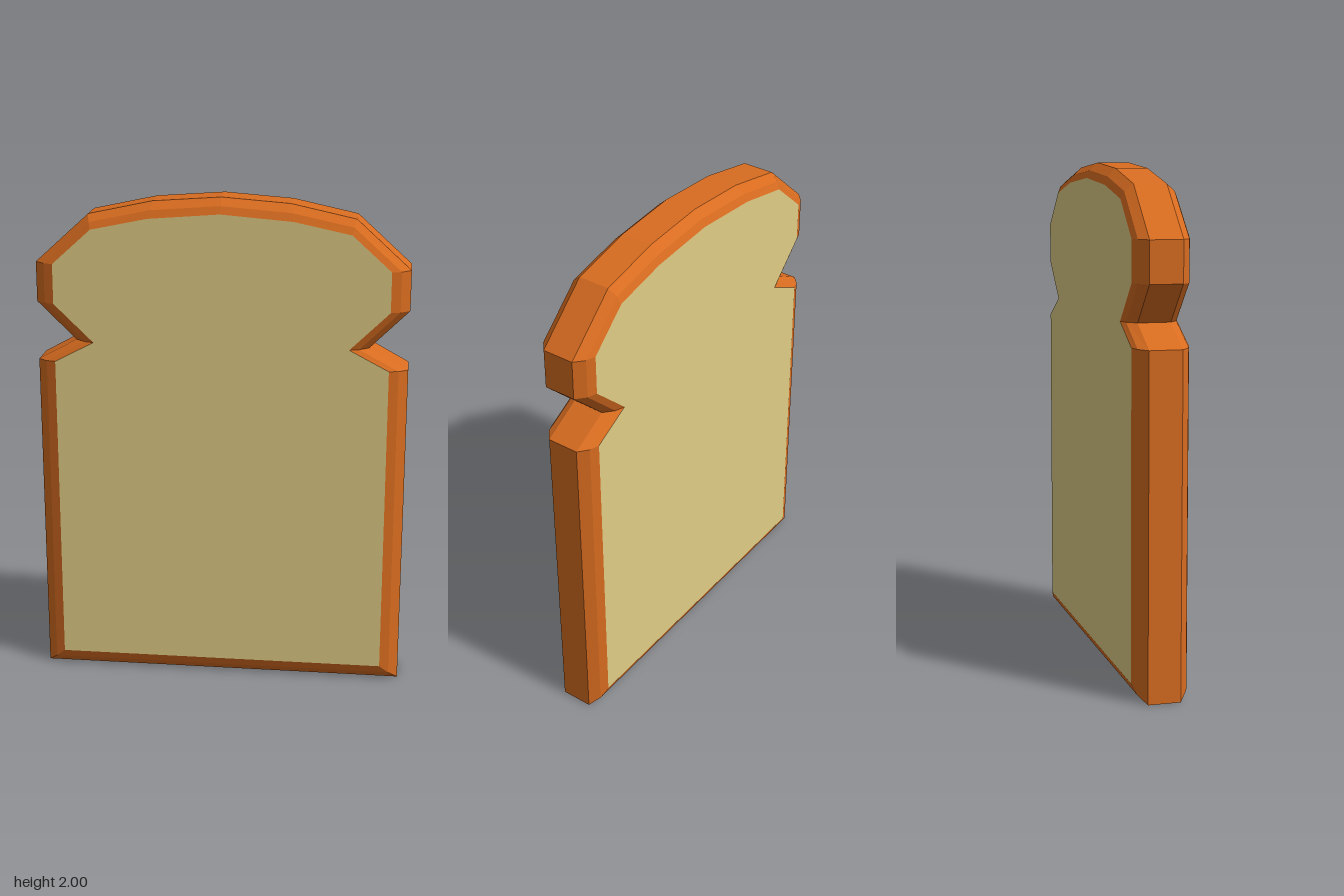
import * as THREE from 'three';

// Right half of the slice outline, bottom to top: [outer x, outer y, inner x, inner y]
const HALF = [
  [0.74, 0, 0.665, 0.065],
  [0.74, 1.332, 0.665, 1.335],
  [0.585, 1.417, 0.508, 1.417],
  [0.74, 1.57, 0.665, 1.57],
  [0.74, 1.73, 0.665, 1.73],
  [0.525, 1.925, 0.51, 1.87],
  [0.27, 1.98, 0.285, 1.917],
];
const CROWN = [0, 2, 0, 1.94];

// Full counter-clockwise outline, mirrored across x = 0
const OUTLINE = [
  ...HALF,
  CROWN,
  ...HALF.map(([a, b, c, d]) => [-a, b, -c, d]).reverse(),
];

// Rounded rim section: [inset amount 0..1, z]
const RIM = [[1, -0.11], [0.5, -0.097], [0, -0.064], [0, 0.064], [0.5, 0.097], [1, 0.11]];

function crustGeometry() {
  const point = (j, k) => {
    const [ox, oy, ix, iy] = OUTLINE[j % OUTLINE.length];
    const [t, z] = RIM[k];
    return [ox + (ix - ox) * t, oy + (iy - oy) * t, z];
  };
  const positions = [];
  for (let k = 0; k < RIM.length - 1; k++) {
    for (let j = 0; j < OUTLINE.length; j++) {
      const a = point(j, k), b = point(j + 1, k);
      const c = point(j + 1, k + 1), d = point(j, k + 1);
      positions.push(...a, ...b, ...c, ...a, ...c, ...d);
    }
  }
  const geometry = new THREE.BufferGeometry();
  geometry.setAttribute('position', new THREE.Float32BufferAttribute(positions, 3));
  geometry.computeVertexNormals();
  return geometry;
}

export function createModel() {
  const model = new THREE.Group();
  model.name = 'breadSlice';

  // Faceted crust band around the edge
  const crustMaterial = new THREE.MeshStandardMaterial({ color: 0xd86c20, flatShading: true });
  const crust = new THREE.Mesh(crustGeometry(), crustMaterial);
  crust.name = 'crust';
  model.add(crust);

  // Flat crumb faces, front and back
  const crumbMaterial = new THREE.MeshStandardMaterial({ color: 0xdfcc84, flatShading: true });
  const shape = new THREE.Shape(OUTLINE.map(([, , x, y]) => new THREE.Vector2(x, y)));
  const crumbGeometry = new THREE.ShapeGeometry(shape);
  for (const side of [1, -1]) {
    const crumb = new THREE.Mesh(crumbGeometry, crumbMaterial);
    crumb.name = side > 0 ? 'crumbFront' : 'crumbBack';
    crumb.position.z = side * 0.11;
    if (side < 0) crumb.rotation.y = Math.PI;
    model.add(crumb);
  }
  return model;
}
